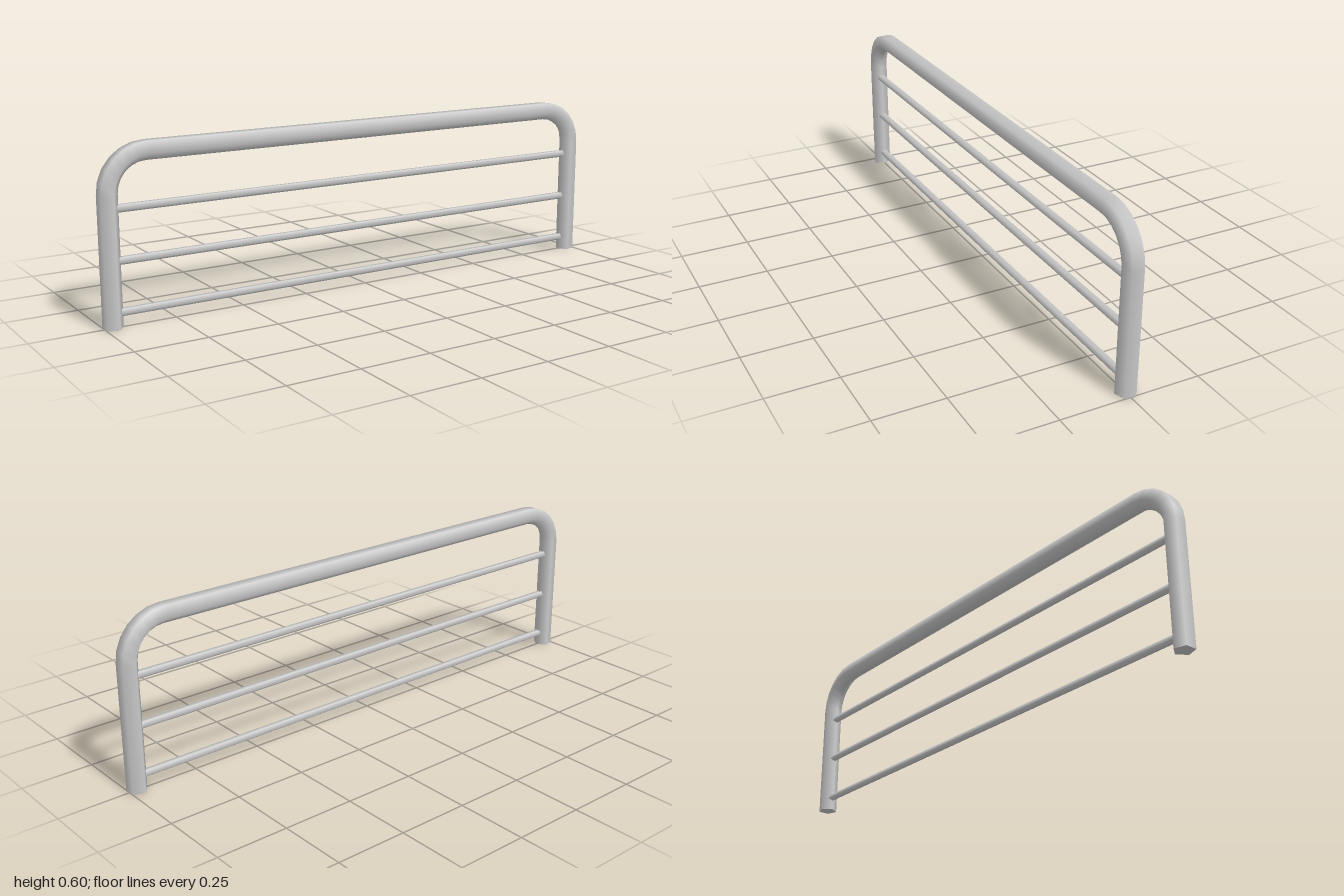
import * as THREE from 'three';

const SIDES = 5;          // pentagonal pipes, flat side outward
const R = 0.0358;         // frame pipe radius
const LEG_X = 0.971;      // leg centreline
const TOP_Y = 0.576;      // top bar centreline
const BEND = 0.136;       // bend radius of the centreline
const BEND_STEPS = 6;

// Sweeps the pipe section along stations { x, y, a }, a = outward angle
function sweepPipe(stations) {
  const pos = [], nor = [], idx = [];
  for (const { x, y, a } of stations) {
    for (let j = 0; j < SIDES; j++) {
      const t = Math.PI + (j / SIDES) * Math.PI * 2;
      const n = [Math.cos(t) * Math.cos(a), Math.cos(t) * Math.sin(a), Math.sin(t)];
      nor.push(...n);
      pos.push(x + R * n[0], y + R * n[1], R * n[2]);
    }
  }
  for (let i = 0; i < stations.length - 1; i++) {
    for (let j = 0; j < SIDES; j++) {
      const k = (j + 1) % SIDES;
      const a = i * SIDES + j, b = i * SIDES + k;
      idx.push(a, b, a + SIDES, b, b + SIDES, a + SIDES);
    }
  }
  const g = new THREE.BufferGeometry();
  g.setAttribute('position', new THREE.Float32BufferAttribute(pos, 3));
  g.setAttribute('normal', new THREE.Float32BufferAttribute(nor, 3));
  g.setIndex(idx);
  return g;
}

export function createModel() {
  const group = new THREE.Group();
  const material = new THREE.MeshStandardMaterial({ color: 0xcccccc, side: THREE.DoubleSide });
  const add = (name, geometry) => {
    const mesh = new THREE.Mesh(geometry, material);
    mesh.name = name;
    group.add(mesh);
    return mesh;
  };

  // Bent frame: leg, bend, top bar, bend, leg
  const stations = [{ x: -LEG_X, y: 0, a: Math.PI }];
  for (const side of [-1, 1]) {
    for (let i = 0; i <= BEND_STEPS; i++) {
      const a = (side < 0 ? Math.PI : Math.PI / 2) - (i / BEND_STEPS) * Math.PI / 2;
      stations.push({
        x: side * (LEG_X - BEND) + BEND * Math.cos(a),
        y: TOP_Y - BEND + BEND * Math.sin(a),
        a,
      });
    }
  }
  stations.push({ x: LEG_X, y: 0, a: 0 });
  add('frame', sweepPipe(stations));

  // Closed feet of the legs
  for (const side of [-1, 1]) {
    const cap = new THREE.CircleGeometry(R, SIDES).rotateX(Math.PI / 2);
    if (side > 0) cap.rotateY(Math.PI);
    add(side > 0 ? 'leftFoot' : 'rightFoot', cap.translate(side * LEG_X, 0, 0));
  }

  // Thin horizontal rails between the legs
  [0.05, 0.222, 0.394].forEach((y, i) => {
    const rail = new THREE.CylinderGeometry(0.0145, 0.0145, 1.89, SIDES, 1, false, -Math.PI / 2);
    rail.rotateZ(Math.PI / 2);
    add('rail' + (i + 1), rail.translate(0, y, 0));
  });

  return group;
}
